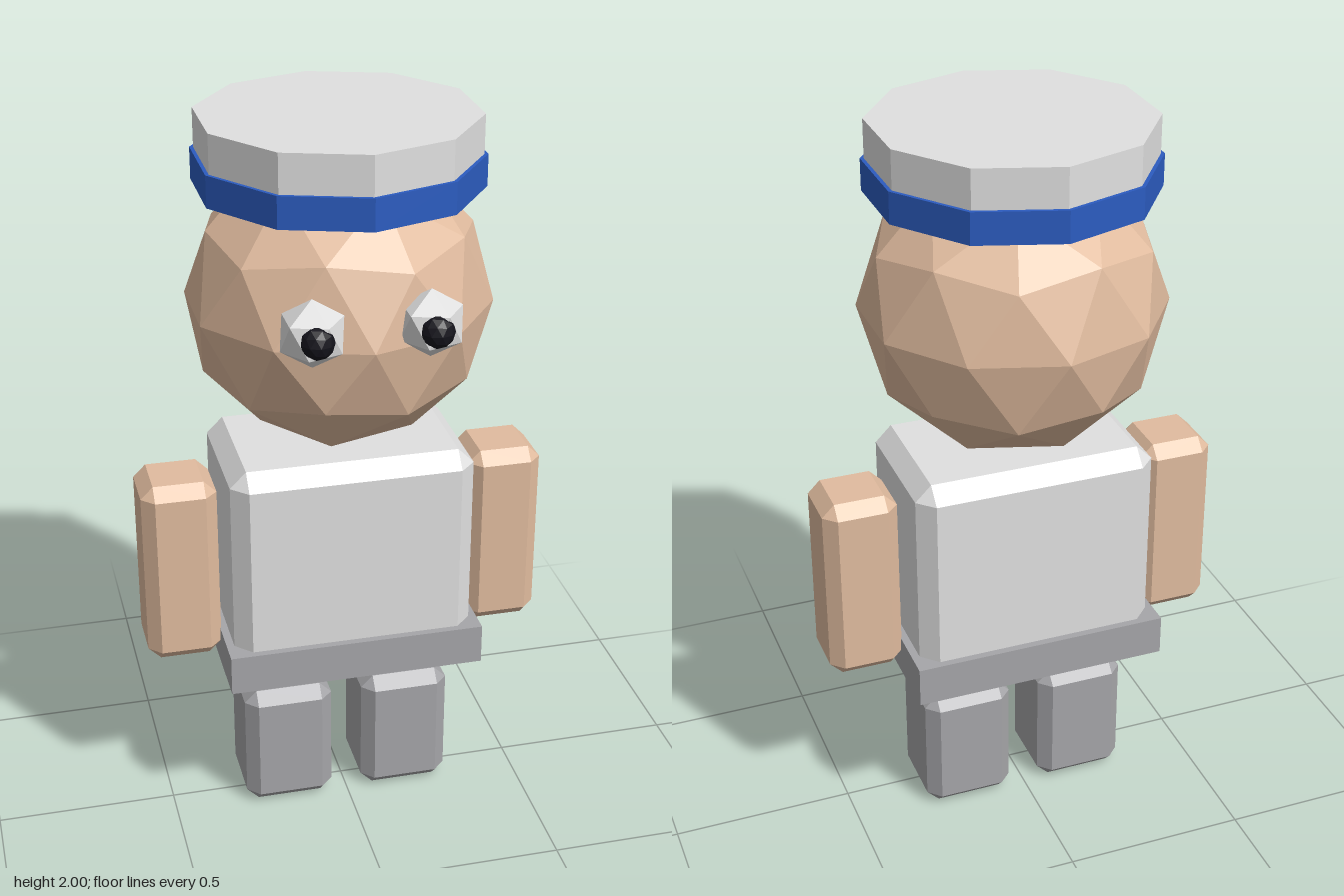
import * as THREE from 'three';
import { ConvexGeometry } from 'three/addons/geometries/ConvexGeometry.js';

const Z = -0.027; // shared depth centre of the body

function material(name, color) {
  const m = new THREE.MeshStandardMaterial({ color });
  m.name = name;
  return m;
}

// Give every facet its own flat normal
function faceted(geometry) {
  const g = geometry.index ? geometry.toNonIndexed() : geometry;
  g.computeVertexNormals();
  return g;
}

// Box with all edges and corners chamfered, centred at the origin
function chamferBox(w, h, d, b) {
  const points = [];
  for (const x of [-w / 2, w / 2]) for (const y of [-h / 2, h / 2]) for (const z of [-d / 2, d / 2]) {
    const ix = x - Math.sign(x) * b, iy = y - Math.sign(y) * b, iz = z - Math.sign(z) * b;
    points.push(new THREE.Vector3(x, iy, iz), new THREE.Vector3(ix, y, iz), new THREE.Vector3(ix, iy, z));
  }
  return new ConvexGeometry(points);
}

// Icosphere with a vertex at each pole
function icoBall(radius, detail) {
  const g = new THREE.IcosahedronGeometry(radius, detail);
  g.rotateX(-Math.atan((1 + Math.sqrt(5)) / 2));
  g.rotateY(Math.PI / 2);
  return faceted(g);
}

export function createModel() {
  const model = new THREE.Group();
  model.name = 'figure';

  const white = material('white', 0xe0e0e0);
  const grey = material('grey', 0xa6a6a9);
  const skin = material('skin', 0xe1bc9f);
  const blue = material('blue', 0x2c5cc0);
  const black = material('black', 0x15141c);

  const add = (name, geometry, mat, x, y, z) => {
    const mesh = new THREE.Mesh(geometry, mat);
    mesh.name = name;
    mesh.position.set(x, y, z);
    model.add(mesh);
    return mesh;
  };

  // Torso and belt
  add('torso', chamferBox(0.664, 0.665, 0.43, 0.044), white, 0, 0.7725, Z);
  add('belt', new THREE.BoxGeometry(0.706, 0.112, 0.47), grey, 0, 0.522, Z);

  // Head
  add('head', icoBall(0.396, 1), skin, 0, 1.503, -0.03).scale.x = 1.025;

  // Cap: ten-sided band and crown
  add('capBand', faceted(new THREE.CylinderGeometry(0.378, 0.378, 0.084, 10)), blue, 0, 1.855, Z);
  add('capCrown', faceted(new THREE.CylinderGeometry(0.368, 0.368, 0.103, 10)), white, 0, 1.9485, Z);

  // Paired parts
  for (const [side, s] of [['left', 1], ['right', -1]]) {
    add(side + 'Arm', chamferBox(0.204, 0.532, 0.204, 0.034), skin, s * 0.452, 0.771, Z);
    add(side + 'Leg', chamferBox(0.25, 0.368, 0.25, 0.034), grey, s * 0.169, 0.184, -0.024);
    add(side + 'Eye', icoBall(0.09, 0), white, s * 0.15, 1.558, 0.326);
    add(side + 'Pupil', icoBall(0.044, 1), black, s * 0.15, 1.559, 0.384);
  }

  return model;
}
